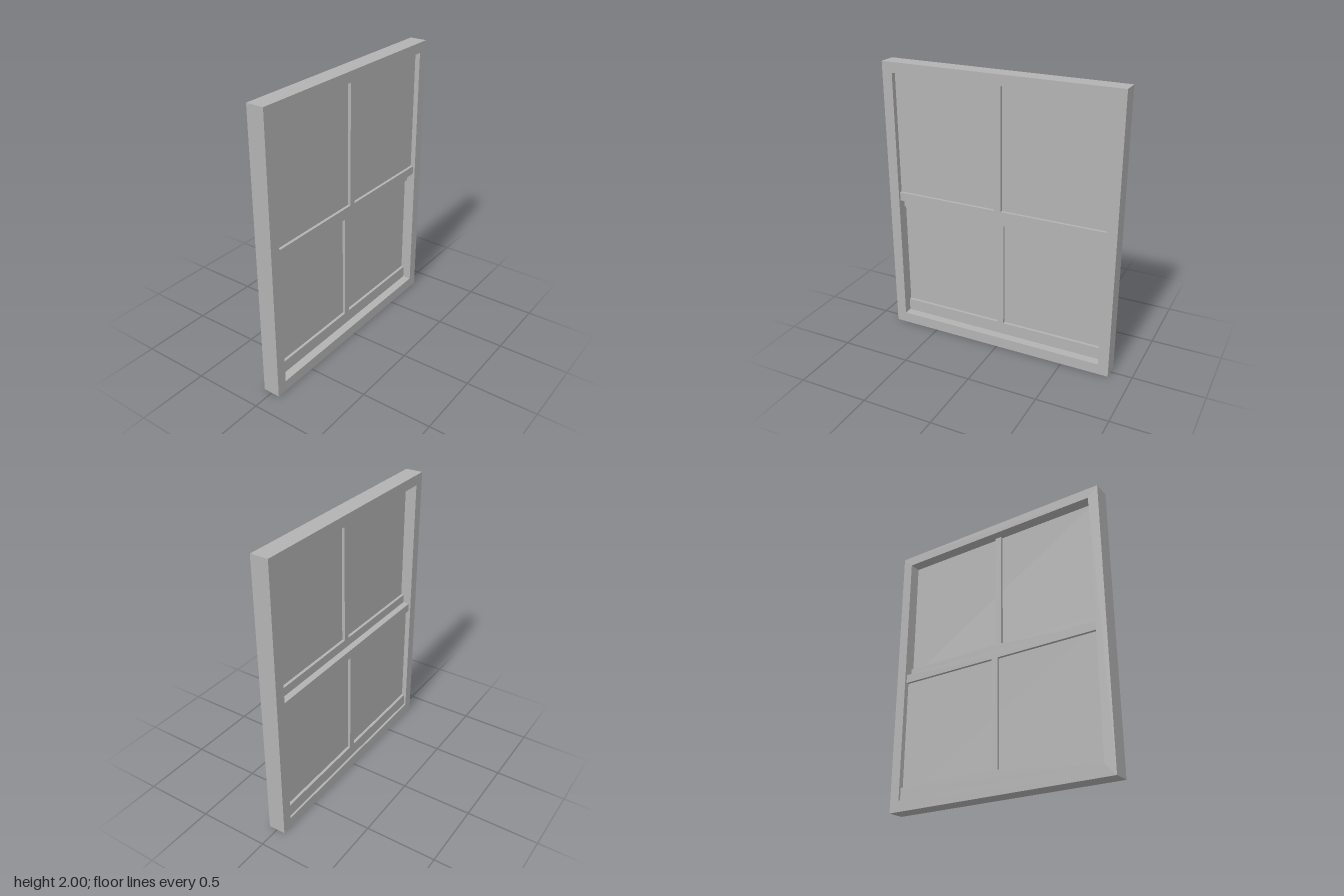
import * as THREE from 'three';

const HALF_W = 0.845, HEIGHT = 2, DEPTH = 0.123;   // outer frame
const IN_X = 0.771, IN_BOTTOM = 0.078, IN_TOP = 1.927; // frame opening
const MEET = 1.003, RAIL = 0.062, SILL_RAIL = 0.09, BAR = 0.024;
const SASH = 0.046;

function rectPoints(x0, y0, x1, y1) {
  return [[x0, y0], [x1, y0], [x1, y1], [x0, y1]].map(([x, y]) => new THREE.Vector2(x, y));
}

export function createModel() {
  const gray = new THREE.MeshStandardMaterial({ color: 0xb3b3b3 });
  gray.name = 'gray';
  const model = new THREE.Group();
  model.name = 'sashWindow';

  const addSlab = (parent, name, shape, depth, z) => {
    const geo = new THREE.ExtrudeGeometry(shape, { depth, bevelEnabled: false });
    const mesh = new THREE.Mesh(geo, gray);
    mesh.name = name;
    mesh.position.z = z;
    parent.add(mesh);
  };

  // Outer frame with one large opening
  const frame = new THREE.Shape(rectPoints(-HALF_W, 0, HALF_W, HEIGHT));
  frame.holes.push(new THREE.Path(rectPoints(-IN_X, IN_BOTTOM, IN_X, IN_TOP)));
  addSlab(model, 'frame', frame, DEPTH, -DEPTH / 2);

  // A sash: rails and centre bar in one piece, with a thin pane in the middle
  const addSash = (name, outline, y0, y1, z) => {
    const sash = new THREE.Group();
    sash.name = name;
    addSlab(sash, name + 'Rails', new THREE.Shape(outline.map(([x, y]) => new THREE.Vector2(x, y))), SASH, z);
    const pane = new THREE.Mesh(new THREE.BoxGeometry(2 * IN_X, y1 - y0, 0.005), gray);
    pane.name = name + 'Pane';
    pane.position.set(0, (y0 + y1) / 2, z + SASH / 2);
    sash.add(pane);
    model.add(sash);
  };

  // Upper sash sits at the front: meeting rail below, centre bar up to the frame
  const railTop = MEET + RAIL;
  addSash('upperSash', [
    [-IN_X, MEET], [IN_X, MEET], [IN_X, railTop], [BAR, railTop],
    [BAR, IN_TOP], [-BAR, IN_TOP], [-BAR, railTop], [-IN_X, railTop],
  ], MEET + 0.01, IN_TOP, 0);

  // Lower sash sits behind: meeting rail above, taller rail on the sill
  const railLow = MEET - RAIL, sillTop = IN_BOTTOM + SILL_RAIL;
  addSash('lowerSash', [
    [-IN_X, IN_BOTTOM], [IN_X, IN_BOTTOM], [IN_X, sillTop], [BAR, sillTop],
    [BAR, railLow], [IN_X, railLow], [IN_X, MEET], [-IN_X, MEET],
    [-IN_X, railLow], [-BAR, railLow], [-BAR, sillTop], [-IN_X, sillTop],
  ], IN_BOTTOM, MEET - 0.01, -SASH);

  return model;
}
